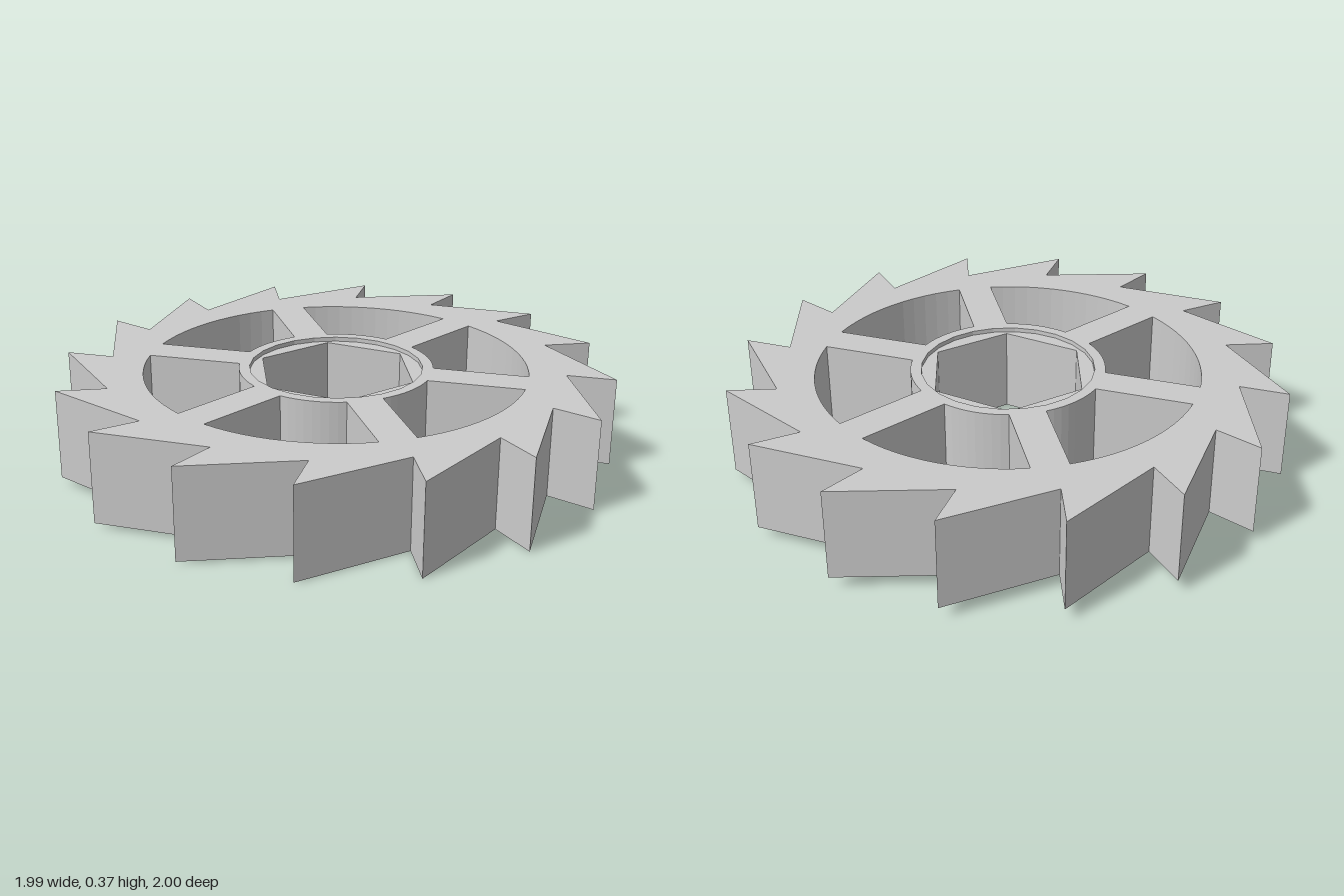
import * as THREE from 'three';
import { mergeGeometries } from 'three/addons/utils/BufferGeometryUtils.js';

const DEG = Math.PI / 180;
const THICK = 0.325, RECESS = 0.016, TILT = 0.0245;
const TEETH = 16, SPOKES = 6;

const polar = (r, a) => new THREE.Vector2(r * Math.cos(a), r * Math.sin(a));

// Points along an arc, both ends included
function arc(r, a0, a1, n) {
  return Array.from({ length: n + 1 }, (_, i) => polar(r, a0 + (a1 - a0) * i / n));
}

// Regular polygon, counter-clockwise
const polygon = (r, sides, start) => arc(r, start, start + 2 * Math.PI, sides).slice(0, -1);

// Saw-tooth outline: each slightly undercut root rises to a hooked tip
function toothOutline() {
  const pts = [];
  for (let i = 0; i < TEETH; i++) {
    const a = i * 2 * Math.PI / TEETH;
    pts.push(polar(0.822, a + 1.4 * DEG), polar(0.997, a));
  }
  return pts;
}

// Opening between two parallel-sided spokes
function windowOutline(i) {
  const rIn = 0.35, rOut = 0.69, half = 0.064;
  const a0 = (31.2 + 60 * i) * DEG, a1 = a0 + 2 * Math.PI / SPOKES;
  const dIn = Math.asin(half / rIn), dOut = Math.asin(half / rOut);
  return [...arc(rOut, a0 + dOut, a1 - dOut, 12), ...arc(rIn, a1 - dIn, a0 + dIn, 8)];
}

// Flat face with holes at height y, facing up or down
function cap(outline, holes, y, up) {
  const shape = new THREE.Shape(outline);
  shape.holes = holes.map((h) => new THREE.Path(h));
  const geo = new THREE.ShapeGeometry(shape).rotateX(-Math.PI / 2).translate(0, y, 0);
  if (!up) geo.setIndex(Array.from(geo.index.array).reverse());
  const flat = geo.toNonIndexed();
  flat.deleteAttribute('uv');
  flat.computeVertexNormals();
  return flat;
}

// Upright faceted wall along a closed outline; inward for the sides of a hole
function wall(outline, y0, y1, inward) {
  const pts = inward ? [...outline].reverse() : outline;
  const pos = [];
  pts.forEach((a, i) => {
    const b = pts[(i + 1) % pts.length];
    pos.push(a.x, y0, -a.y, b.x, y0, -b.y, b.x, y1, -b.y);
    pos.push(a.x, y0, -a.y, b.x, y1, -b.y, a.x, y1, -a.y);
  });
  const geo = new THREE.BufferGeometry();
  geo.setAttribute('position', new THREE.Float32BufferAttribute(pos, 3));
  geo.computeVertexNormals();
  return geo;
}

export function createModel() {
  const model = new THREE.Group();
  model.name = 'ratchetWheel';
  const wheel = new THREE.Group();
  wheel.name = 'tiltedWheel';
  const material = new THREE.MeshStandardMaterial({ color: 0xcccccc, flatShading: true });
  const add = (name, parts) => {
    const mesh = new THREE.Mesh(mergeGeometries(parts), material);
    mesh.name = name;
    wheel.add(mesh);
  };

  const top = THICK / 2, bottom = -top, floor = top - RECESS;
  const teeth = toothOutline();
  const windows = Array.from({ length: SPOKES }, (_, i) => windowOutline(i));
  const bore = polygon(0.296, 6, 21 * DEG);
  const seat = polygon(0.312, 24, 0);

  // Toothed rim, spokes and hub faces
  add('wheelFaces', [
    cap(teeth, [...windows, seat], top, true),
    cap(teeth, [...windows, bore], bottom, false),
  ]);
  add('teeth', [wall(teeth, bottom, top, false)]);
  add('spokeWindows', windows.map((w) => wall(w, bottom, top, true)));

  // Shallow round recess around the hexagonal bore
  add('hubRecess', [cap(seat, [bore], floor, true), wall(seat, floor, top, true)]);
  add('hexBore', [wall(bore, bottom, floor, true)]);

  // The wheel leans slightly forward, its front tooth touching the ground
  wheel.rotation.x = TILT;
  wheel.position.y = Math.sin(TILT) + Math.cos(TILT) * THICK / 2;
  model.add(wheel);
  return model;
}
